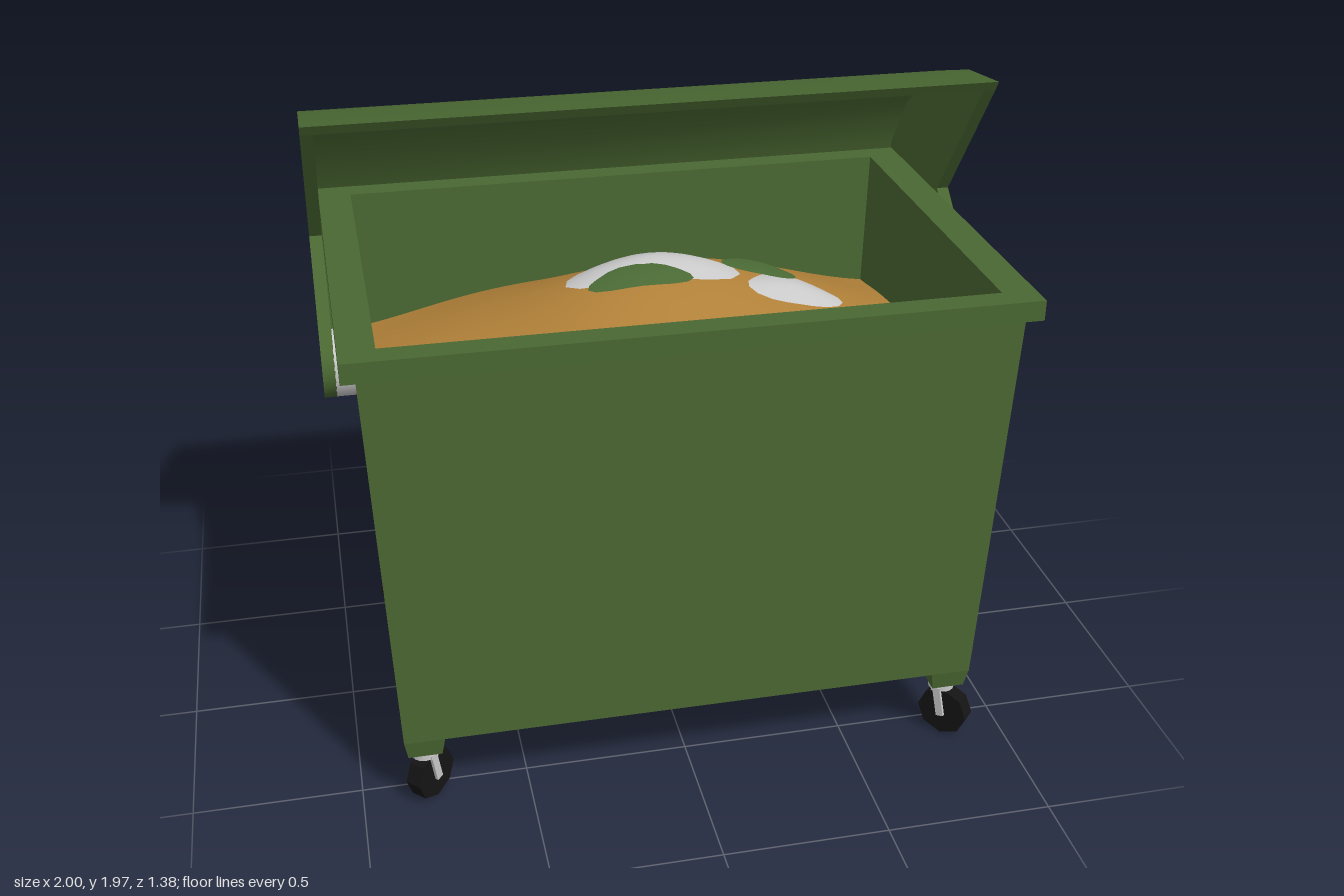
import * as THREE from 'three';
import { toCreasedNormals } from 'three/addons/utils/BufferGeometryUtils.js';

const mat = (name, color, extra = {}) => {
  const m = new THREE.MeshStandardMaterial({ color, ...extra });
  m.name = name;
  return m;
};

// Rectangular rings [y, halfX, halfZ, centreX, centreZ] joined into a flat-sided solid
function loft(rings) {
  const corners = rings.map(([y, hx, hz, cx = 0, cz = 0]) =>
    [[1, 1], [1, -1], [-1, -1], [-1, 1]].map(([sx, sz]) => [cx + sx * hx, y, cz + sz * hz]));
  const pos = [];
  const quad = (a, b, c, d) => pos.push(...a, ...b, ...c, ...a, ...c, ...d);
  for (let i = 0; i < corners.length - 1; i++) {
    const lo = corners[i], hi = corners[i + 1];
    for (let k = 0; k < 4; k++) quad(lo[k], lo[(k + 1) % 4], hi[(k + 1) % 4], hi[k]);
  }
  const [b0, b1, b2, b3] = corners[0];
  quad(b3, b2, b1, b0);
  quad(...corners[corners.length - 1]);
  const g = new THREE.BufferGeometry();
  g.setAttribute('position', new THREE.Float32BufferAttribute(pos, 3));
  g.computeVertexNormals();
  return g;
}

// Side profile of [z, y] points extruded along x from x0 to x1
function extrudeAlongX(points, x0, x1) {
  const shape = new THREE.Shape(points.map(([z, y]) => new THREE.Vector2(-z, y)));
  const g = new THREE.ExtrudeGeometry(shape, { depth: x1 - x0, bevelEnabled: false });
  g.rotateY(Math.PI / 2).translate(x0, 0, 0);
  return toCreasedNormals(g, 0.55);
}

// Height of the rubbish heap
const heapHeight = (x, z) =>
  1.05 + 0.27 * Math.exp(-(((x - 0.05) / 0.7) ** 2) - ((z + 0.22) / 0.42) ** 2)
  + 0.012 * Math.sin(7 * x + 2) * Math.cos(6 * z);

// Elliptical scrap lying on the heap
function drape(cx, cz, rx, rz, lift, dome) {
  const g = new THREE.RingGeometry(0.001, 1, 20, 5).rotateX(-Math.PI / 2);
  const p = g.attributes.position;
  for (let i = 0; i < p.count; i++) {
    const u = p.getX(i), v = p.getZ(i), w = 1 + 0.12 * Math.sin(3 * Math.atan2(v, u));
    const x = cx + u * rx * w, z = cz + v * rz * w;
    p.setXYZ(i, x, heapHeight(x, z) + lift + dome * (1 - u * u - v * v), z);
  }
  g.computeVertexNormals();
  return g;
}

export function createModel() {
  const root = new THREE.Group();
  const green = mat('binGreen', 0x4a6832);
  const greenScrap = mat('scrapGreen', 0x4a6a35, { side: THREE.DoubleSide });
  const brown = mat('rubbishBrown', 0xb08038, { side: THREE.DoubleSide });
  const pale = mat('paleMetal', 0xc8c8c8);
  const paper = mat('paperWhite', 0xc8c8c8, { side: THREE.DoubleSide });
  const black = mat('tyreBlack', 0x141414);
  const add = (name, geo, material, parent = root) => {
    const m = new THREE.Mesh(geo, material);
    m.name = name;
    parent.add(m);
    return m;
  };

  // Hollow tapered container with an overhanging rim
  const cz = 0.04;
  add('container', loft([
    [0.25, 0.87, 0.588, 0, cz], [1.46, 0.92, 0.62, 0, cz],
    [1.46, 0.96, 0.65, 0, cz], [1.52, 0.96, 0.65, 0, cz],
    [1.52, 0.86, 0.574, 0, cz], [0.3, 0.82, 0.535, 0, cz],
  ]), green);

  // Rubbish heap and loose scraps
  const heap = new THREE.PlaneGeometry(1.69, 1.1, 28, 20).rotateX(-Math.PI / 2).translate(0, 0, 0.027);
  const hp = heap.attributes.position;
  for (let i = 0; i < hp.count; i++) hp.setY(i, heapHeight(hp.getX(i), hp.getZ(i)));
  heap.computeVertexNormals();
  add('rubbishHeap', heap, brown);
  add('paperScrapLarge', drape(0.05, -0.25, 0.27, 0.13, 0.004, 0.03), paper);
  add('greenScrapLarge', drape(-0.01, -0.13, 0.16, 0.06, 0.026, 0), greenScrap);
  add('paperScrapSmall', drape(0.5, -0.17, 0.15, 0.09, 0.004, 0.02), paper);
  add('greenScrapSmall', drape(0.4, -0.25, 0.12, 0.06, 0.022, 0), greenScrap);

  // Open lid: curved shell between two side plates with pivot arms
  const lid = new THREE.Group();
  lid.name = 'lid';
  root.add(lid);
  const outer = [[0.14, 1.97], [-0.09, 1.94], [-0.32, 1.87], [-0.5, 1.74],
    [-0.63, 1.56], [-0.695, 1.35], [-0.69, 1.12], [-0.645, 0.89]];
  const inner = outer.map(([z, y]) => [-0.3 + (z + 0.3) * 0.955, 1.3 + (y - 1.3) * 0.955]);
  add('lidShell', extrudeAlongX([...outer, ...[...inner].reverse()], -1, 1), green, lid);
  const pivot = [0.04, 1.215];
  const armEnd = [];
  for (let i = 0; i <= 12; i++) {
    const a = THREE.MathUtils.degToRad(-121 + (171 * i) / 12);
    armEnd.push([pivot[0] + 0.1 * Math.cos(a), pivot[1] + 0.1 * Math.sin(a)]);
  }
  const plate = [...inner, [-0.33, 1.32], ...armEnd, [-0.18, 1.53]];
  for (const s of [-1, 1]) {
    const side = s > 0 ? 'left' : 'right';
    add(side + 'LidPlate', extrudeAlongX(plate, s > 0 ? 0.963 : -1, s > 0 ? 1 : -0.963), green, lid);
    const disc = new THREE.CylinderGeometry(0.1, 0.1, 0.085, 24).rotateZ(Math.PI / 2);
    add(side + 'PivotDisc', disc, pale).position.set(s * 0.922, pivot[1], pivot[0]);
  }

  // Corner feet with swivel casters
  for (const sx of [-1, 1]) for (const sz of [-1, 1]) {
    const name = (sz > 0 ? 'front' : 'back') + (sx > 0 ? 'Left' : 'Right');
    const x = sx * 0.81, z = cz + sz * 0.522;
    add(name + 'Foot', loft([[0.19, 0.05, 0.055, x, z], [0.252, 0.06, 0.066, x, z]]), green);

    const caster = new THREE.Group();
    caster.name = name + 'Caster';
    caster.position.set(x, 0, z);
    caster.rotation.y = sx > 0 && sz > 0 ? -Math.PI / 4 : Math.PI / 4;
    root.add(caster);
    add('stem', new THREE.CylinderGeometry(0.04, 0.04, 0.035, 16), pale, caster).position.y = 0.176;
    add('forkBridge', new THREE.BoxGeometry(0.03, 0.014, 0.082), pale, caster).position.y = 0.163;
    const tyre = new THREE.CylinderGeometry(0.08, 0.08, 0.05, 8).rotateX(Math.PI / 2);
    add('wheel', toCreasedNormals(tyre, 0.3), black, caster).position.set(0.02, 0.078, 0);
    for (const s of [-1, 1]) {
      const arm = add('forkArm', new THREE.BoxGeometry(0.024, 0.1, 0.01), pale, caster);
      arm.position.set(0.01, 0.118, s * 0.034);
      arm.rotation.z = 0.2;
    }
  }
  return root;
}
